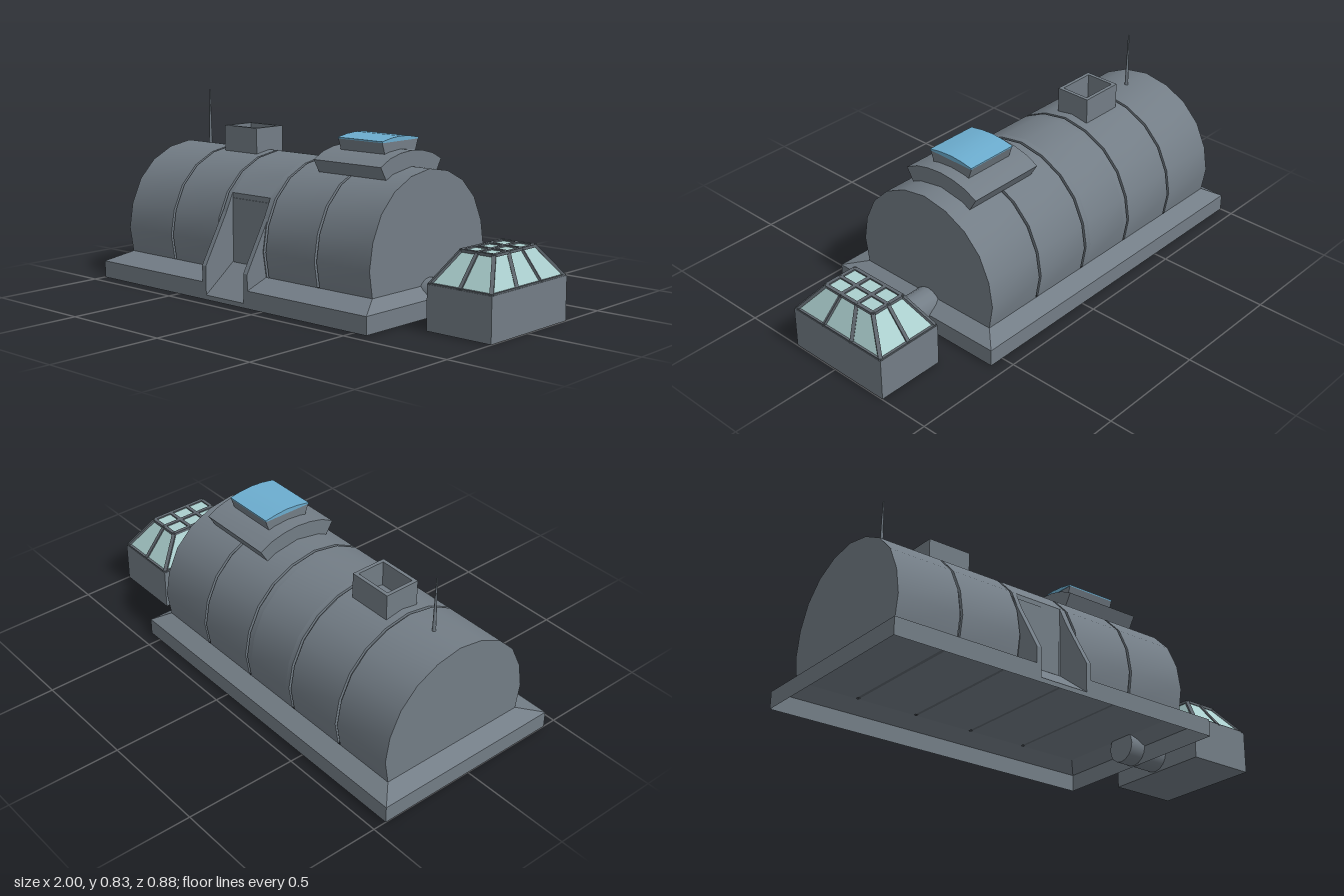
import * as THREE from 'three';
import { toCreasedNormals } from 'three/addons/utils/BufferGeometryUtils.js';

const ZC = -0.02; // long axis of the building

export function createModel() {
  const model = new THREE.Group();
  const hullGrey = new THREE.MeshStandardMaterial({ color: 0x737d86, side: THREE.DoubleSide });
  hullGrey.name = 'hullGrey';
  const frameGrey = new THREE.MeshStandardMaterial({ color: 0x5f676e });
  frameGrey.name = 'frameGrey';
  const paleGlass = new THREE.MeshStandardMaterial({ color: 0xabcfce, side: THREE.DoubleSide });
  paleGlass.name = 'paleGlass';
  const skyBlue = new THREE.MeshStandardMaterial({ color: 0x6cadcf });
  skyBlue.name = 'skyBlue';

  const add = (name, geo, mat, parent = model) => {
    const mesh = new THREE.Mesh(geo, mat);
    mesh.name = name;
    parent.add(mesh);
    return mesh;
  };

  // Extrude a [z, y] outline along x
  const prism = (outline, x0, x1) => {
    const shape = new THREE.Shape(outline.map(([z, y]) => new THREE.Vector2(z, y)));
    const geo = new THREE.ExtrudeGeometry(shape, { depth: x1 - x0, bevelEnabled: false });
    geo.rotateY(-Math.PI / 2).translate(x1, 0, 0);
    return toCreasedNormals(geo, 0.5);
  };
  const box = (x0, x1, y0, y1, z0, z1) =>
    new THREE.BoxGeometry(x1 - x0, y1 - y0, z1 - z0)
      .translate((x0 + x1) / 2, (y0 + y1) / 2, (z0 + z1) / 2);

  // Surface from four-cornered faces
  const quads = (list) => {
    const pos = [];
    for (const [a, b, c, d] of list) pos.push(...a, ...b, ...c, ...a, ...c, ...d);
    const geo = new THREE.BufferGeometry();
    geo.setAttribute('position', new THREE.Float32BufferAttribute(pos, 3));
    geo.computeVertexNormals();
    return geo;
  };

  // Full outline from one half (offset from axis, height), bottom to top
  const mirrored = (half) => [
    ...half.map(([d, y]) => [ZC + d, y]),
    ...half.filter(([d]) => d > 0).reverse().map(([d, y]) => [ZC - d, y]),
  ];

  // Barrel hull: five sections with narrow grooves between them
  const halfHull = [[0.35, 0.115], [0.368, 0.225], [0.349, 0.335], [0.299, 0.44],
    [0.219, 0.52], [0.117, 0.57], [0, 0.59]];
  const hull = mirrored(halfHull);
  const core = mirrored(halfHull.map(([d, y]) => [d * 0.965, 0.115 + (y - 0.115) * 0.975]));
  const cutHull = [[0.279, 0.115], ...hull.slice(3)];
  const doorL = -0.33, doorR = -0.105;
  const hullGroup = new THREE.Group();
  hullGroup.name = 'hull';
  model.add(hullGroup);
  const step = 1.43 / 5, gap = 0.006;
  for (let i = 0; i < 5; i++) {
    const a = -0.93 + i * step + (i > 0 ? gap : 0);
    const b = -0.93 + (i + 1) * step - (i < 4 ? gap : 0);
    if (i === 2) {
      add('hullSection', prism(hull, a, doorL), hullGrey, hullGroup);
      add('doorSection', prism(cutHull, doorL, doorR), hullGrey, hullGroup);
      add('hullSection', prism(hull, doorR, b), hullGrey, hullGroup);
    } else add('hullSection', prism(hull, a, b), hullGrey, hullGroup);
    if (i < 4) add('groove', prism(core, b - 0.002, b + 2 * gap + 0.002), frameGrey, hullGroup);
  }

  // Sloping skirt, open underneath and interrupted by the entrance
  const X0 = -1, X1 = 0.565, Z = 0.44, yl = 0.075, yh = 0.115;
  const x0 = -0.93, x1 = 0.5, zb = -0.37, zf = 0.33;
  const cutL = -0.345, cutR = -0.09;
  add('skirt', quads([
    [[X0, 0, Z], [cutL, 0, Z], [cutL, yl, Z], [X0, yl, Z]],
    [[X0, yl, Z], [cutL, yl, Z], [cutL, yh, zf], [x0, yh, zf]],
    [[cutR, 0, Z], [X1, 0, Z], [X1, yl, Z], [cutR, yl, Z]],
    [[cutR, yl, Z], [X1, yl, Z], [x1, yh, zf], [cutR, yh, zf]],
    [[X1, 0, Z], [X1, 0, -Z], [X1, yl, -Z], [X1, yl, Z]],
    [[X1, yl, Z], [X1, yl, -Z], [x1, yh, zb], [x1, yh, zf]],
    [[X1, 0, -Z], [X0, 0, -Z], [X0, yl, -Z], [X1, yl, -Z]],
    [[X1, yl, -Z], [X0, yl, -Z], [x0, yh, zb], [x1, yh, zb]],
    [[X0, 0, -Z], [X0, 0, Z], [X0, yl, Z], [X0, yl, -Z]],
    [[X0, yl, -Z], [X0, yl, Z], [x0, yh, zf], [x0, yh, zb]],
  ]), hullGrey);

  // Entrance: slanted cheeks, door and ramp
  const cheek = [[0.27, 0.11], [0.44, 0], [0.44, 0.145], [0.28, 0.425], [0.27, 0.425]];
  add('entranceCheek', prism(cheek, -0.353, doorL), hullGrey);
  add('entranceCheek', prism(cheek, doorR, -0.082), hullGrey);
  add('door', box(doorL + 0.008, doorR - 0.008, 0.14, 0.418, 0.277, 0.283), hullGrey);
  add('ramp', prism([[0.27, 0.11], [0.44, 0], [0.44, 0.02], [0.28, 0.142], [0.27, 0.142]],
    doorL, doorR), hullGrey);

  // Roof skylight: flared collar, smaller flared head and blue pane
  add('skylightCollar', prism(mirrored([[0.16, 0.55], [0.193, 0.605], [0.135, 0.634],
    [0.07, 0.65], [0, 0.656]]), 0.042, 0.406), hullGrey);
  add('skylightHead', prism(mirrored([[0.095, 0.635], [0.114, 0.69], [0.057, 0.699],
    [0, 0.703]]), 0.108, 0.346), hullGrey);
  const arc = [[0.115, 0.696], [0.057, 0.706], [0, 0.71]];
  add('skylightPane', prism(mirrored([[0.114, 0.69], ...arc]), 0.106, 0.348), skyBlue);

  // Open roof vent
  const rect = (T, w, h) => new T([[-w, -h], [w, -h], [w, h], [-w, h]]
    .map(([x, y]) => new THREE.Vector2(x, y)));
  const ventShape = rect(THREE.Shape, 0.1, 0.081);
  ventShape.holes.push(rect(THREE.Path, 0.084, 0.065));
  add('roofVent', new THREE.ExtrudeGeometry(ventShape, { depth: 0.125, bevelEnabled: false })
    .rotateX(-Math.PI / 2).translate(-0.505, 0.565, -0.022), hullGrey);

  // Antenna
  add('antenna', new THREE.CylinderGeometry(0.003, 0.008, 0.25, 8)
    .translate(-0.785, 0.71, ZC), hullGrey);

  // Connecting tunnel
  add('tunnel', new THREE.CylinderGeometry(0.07, 0.07, 0.21, 16)
    .rotateZ(Math.PI / 2).translate(0.595, 0.075, -0.025), hullGrey);

  // Glazed pod: solid base with a framed glass roof
  const pod = new THREE.Group();
  pod.name = 'glazedPod';
  pod.position.set(0.844, 0, ZC);
  model.add(pod);
  const bx = 0.154, bz = 0.25, tx = 0.077, tz = 0.135, by = 0.185, ty = 0.312;
  add('podBase', box(-bx, bx, 0, by, -bz, bz), hullGrey, pod);
  const low = (u, v) => [u * (bx - 0.008), by, v * (bz - 0.008)];
  const top = (u, v) => [u * tx, ty, v * tz];
  const corners = [[-1, 1], [1, 1], [1, -1], [-1, -1]];
  const panes = corners.map((c, i) => {
    const n = corners[(i + 1) % 4];
    return [low(...c), low(...n), top(...n), top(...c)];
  });
  panes.push(corners.map((c) => top(...c)));
  add('podGlass', quads(panes), paleGlass, pod);

  const bar = (a, b, w = 0.016) => {
    const p = new THREE.Vector3(...a), q = new THREE.Vector3(...b);
    const mesh = add('glazingBar', new THREE.BoxGeometry(w, 0.012, p.distanceTo(q) + 0.008),
      frameGrey, pod);
    mesh.position.copy(p).add(q).multiplyScalar(0.5);
    mesh.rotation.setFromQuaternion(new THREE.Quaternion().setFromRotationMatrix(
      new THREE.Matrix4().lookAt(q, p, new THREE.Vector3(0, 1, 0))));
  };
  for (const s of [-1, 1]) {
    for (const v of [-1, -1 / 3, 1 / 3, 1]) bar(low(s, v), top(s, v));
    bar(low(0, s), top(0, s));
    bar(low(s, -1), low(s, 1), 0.012);
    bar(low(-1, s), low(1, s), 0.012);
  }
  for (const u of [-1, 0, 1]) bar(top(u, -1), top(u, 1));
  for (const v of [-1, -1 / 3, 1 / 3, 1]) bar(top(-1, v), top(1, v));

  return model;
}
